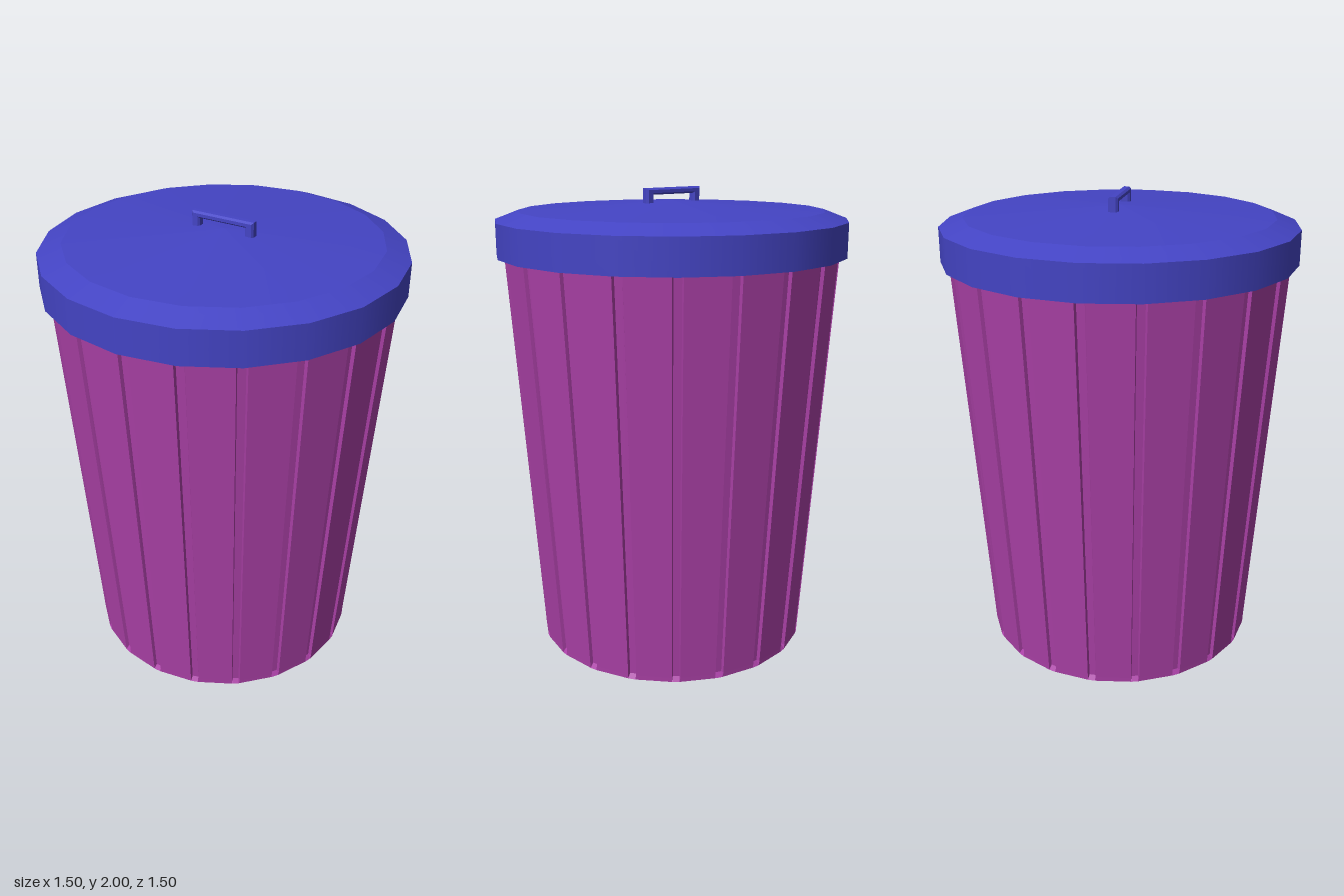
import * as THREE from 'three';
import { mergeGeometries } from 'three/addons/utils/BufferGeometryUtils.js';

const SIDES = 20;
const STEP = (Math.PI * 2) / SIDES;

// One ring of the tapered bin: a 20-sided outline with a narrow groove at each corner
function bodyRing(y, radius, depth) {
  const ring = [];
  const w = 0.03 * radius; // half width of a groove
  const slope = Math.tan(STEP / 2);
  for (let k = 0; k < SIDES; k++) {
    const a = k * STEP;
    const point = (t, r) => ring.push(new THREE.Vector3(
      Math.sin(a) * r + Math.cos(a) * t, y, Math.cos(a) * r - Math.sin(a) * t));
    const edge = radius - w * slope;
    point(-w, edge);
    point(-w * 0.75, radius - w * 0.75 * slope - depth);
    point(w * 0.75, radius - w * 0.75 * slope - depth);
    point(w, edge);
  }
  return ring;
}

function bodyGeometry() {
  const rings = [
    bodyRing(0, 0.6, 0),
    bodyRing(0.02, 0.601, 0.015),
    bodyRing(1.86, 0.728, 0.015),
  ];
  const tris = [];
  const n = rings[0].length;
  const centre = new THREE.Vector3();
  for (let j = 0; j < n; j++) {
    const k = (j + 1) % n;
    for (let i = 0; i < rings.length - 1; i++) {
      const lo = rings[i], hi = rings[i + 1];
      tris.push(lo[j], lo[k], hi[k], lo[j], hi[k], hi[j]);
    }
    tris.push(centre, rings[0][k], rings[0][j]); // floor
  }
  const g = new THREE.BufferGeometry().setFromPoints(tris);
  g.computeVertexNormals();
  return g;
}

// Lid shell: each band is smooth around, with a hard edge to the next
function lidGeometry() {
  const profile = [
    [0.6, 1.86], [0.737, 1.86], [0.737, 1.725], [0.75, 1.725],
    [0.75, 1.87], [0.65, 1.908], [0, 1.948],
  ].map(([r, y]) => new THREE.Vector2(r, y));
  const bands = [];
  for (let i = 0; i < profile.length - 1; i++) {
    bands.push(new THREE.LatheGeometry([profile[i], profile[i + 1]], SIDES));
  }
  return mergeGeometries(bands);
}

// Bridge-shaped handle with chamfered edges
function handleGeometry() {
  const b = 0.007;
  const s = new THREE.Shape([
    [-0.135, 1.92], [-0.112, 1.92], [-0.112, 1.98], [0.112, 1.98],
    [0.112, 1.92], [0.135, 1.92], [0.135, 2 - b], [-0.135, 2 - b],
  ].map(([x, y]) => new THREE.Vector2(x, y)));
  const g = new THREE.ExtrudeGeometry(s, {
    depth: 0.022, bevelEnabled: true, bevelSize: b, bevelThickness: 0.009, bevelSegments: 1,
  });
  return g.translate(0, 0, -0.011);
}

export function createModel() {
  const group = new THREE.Group();
  group.name = 'trashCan';
  const purple = new THREE.MeshStandardMaterial({ color: 0xaa40a6, side: THREE.DoubleSide });
  const blue = new THREE.MeshStandardMaterial({ color: 0x4444c4, side: THREE.DoubleSide });

  const add = (name, geometry, material) => {
    const mesh = new THREE.Mesh(geometry, material);
    mesh.name = name;
    group.add(mesh);
  };
  add('body', bodyGeometry(), purple);
  add('lid', lidGeometry(), blue);
  add('handle', handleGeometry(), blue);
  return group;
}
